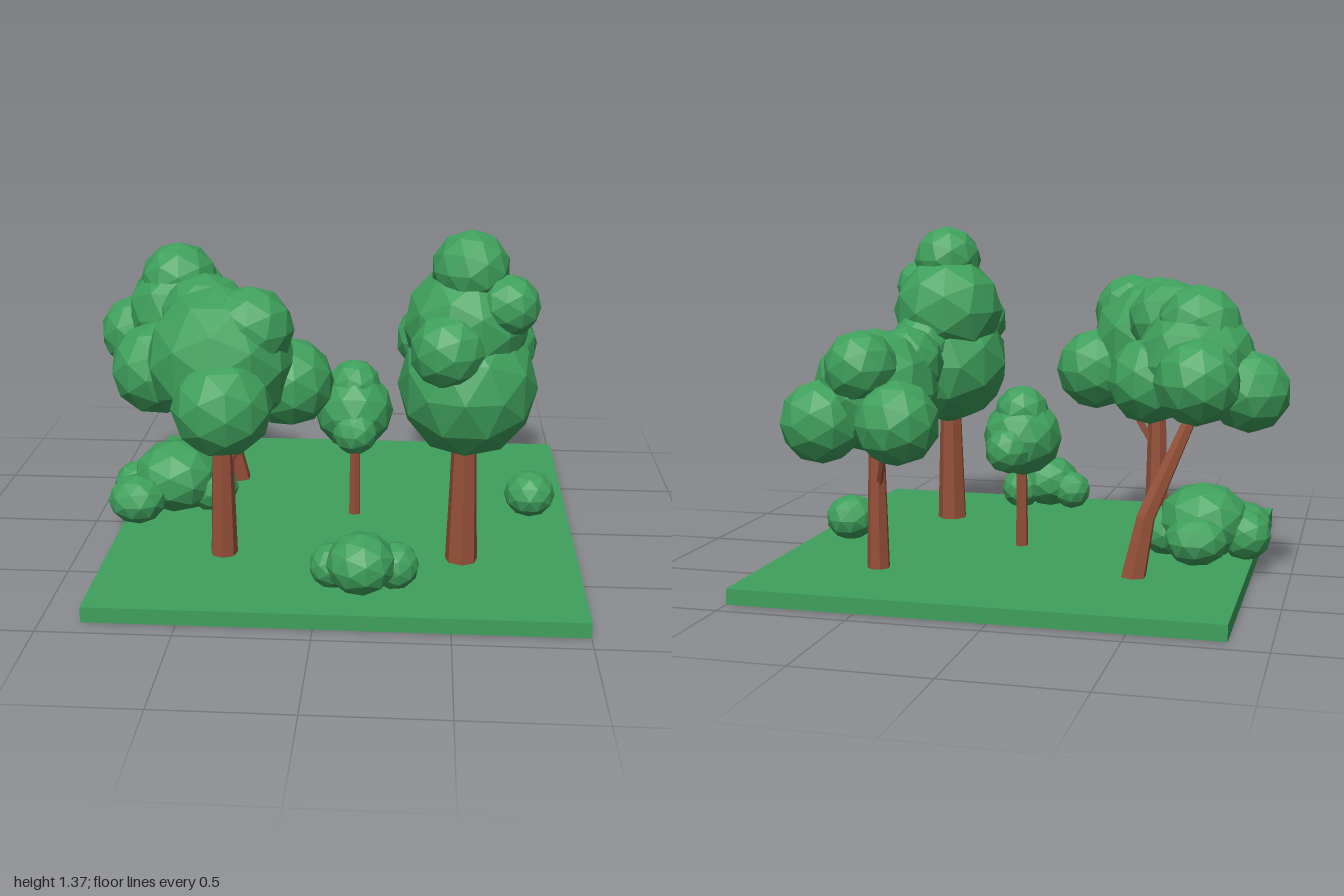
import * as THREE from 'three';

const leafGreen = new THREE.MeshStandardMaterial({ color: 0x3fa05c, flatShading: true });
leafGreen.name = 'leafGreen';
const barkBrown = new THREE.MeshStandardMaterial({ color: 0x955038, flatShading: true });
barkBrown.name = 'barkBrown';

const blobGeometry = new THREE.IcosahedronGeometry(1, 1);
const UP = new THREE.Vector3(0, 1, 0);
let turn = 0;

// Faceted leaf ball: [x, y, z, radius, optional vertical radius]
function blob([x, y, z, r, ry = r], name) {
  const mesh = new THREE.Mesh(blobGeometry, leafGreen);
  mesh.name = name;
  mesh.position.set(x, y, z);
  mesh.scale.set(r * 1.02, ry * 1.02, r * 1.02);
  mesh.rotation.y = 1.3 * turn++;
  return mesh;
}

// Tapered wooden piece between two points
function limb(from, to, r0, r1, name, sides = 7) {
  const a = new THREE.Vector3(...from);
  const b = new THREE.Vector3(...to);
  const dir = b.clone().sub(a);
  const mesh = new THREE.Mesh(new THREE.CylinderGeometry(r1, r0, dir.length(), sides), barkBrown);
  mesh.name = name;
  mesh.position.copy(a).add(b).multiplyScalar(0.5);
  mesh.quaternion.setFromUnitVectors(UP, dir.normalize());
  return mesh;
}

function plant(name, blobs, limbs = []) {
  const group = new THREE.Group();
  group.name = name;
  blobs.forEach((b) => group.add(blob(b, 'foliage')));
  limbs.forEach((l) => group.add(limb(...l)));
  return group;
}

export function createModel() {
  const model = new THREE.Group();
  model.name = 'treeGrove';

  // Ground slab
  const ground = new THREE.Mesh(new THREE.BoxGeometry(1.85, 0.06, 1.84), leafGreen);
  ground.name = 'ground';
  ground.position.set(0.075, 0.03, 0);
  model.add(ground);

  // Broad tree, front right corner
  model.add(plant('broadTree', [
    [-0.38, 0.87, 0.44, 0.28],
    [-0.46, 0.98, 0.26, 0.175],
    [-0.26, 1.0, 0.48, 0.16],
    [-0.13, 0.76, 0.36, 0.17],
    [-0.64, 0.8, 0.34, 0.18],
    [-0.35, 0.75, 0.65, 0.185],
  ], [
    [[-0.39, 0.06, 0.41], [-0.385, 0.75, 0.42], 0.054, 0.034, 'trunk'],
    [[-0.39, 0.4, 0.41], [-0.25, 0.63, 0.4], 0.017, 0.012, 'branch', 5],
  ]));

  // Tall tree, front left corner
  model.add(plant('tallTree', [
    [0.55, 0.77, 0.39, 0.26, 0.27],
    [0.54, 1.0, 0.36, 0.235],
    [0.55, 1.22, 0.39, 0.145],
    [0.47, 0.945, 0.54, 0.14],
    [0.69, 1.1, 0.46, 0.115],
    [0.61, 0.86, 0.24, 0.145],
  ], [
    [[0.545, 0.06, 0.41], [0.545, 0.7, 0.4], 0.064, 0.042, 'trunk'],
  ]));

  // Round tree, back left corner
  model.add(plant('roundTree', [
    [0.57, 0.75, -0.47, 0.24],
    [0.42, 0.66, -0.65, 0.16],
    [0.57, 0.86, -0.62, 0.14],
    [0.73, 0.65, -0.62, 0.16],
    [0.48, 0.85, -0.37, 0.145],
    [0.58, 0.67, -0.285, 0.17],
  ], [
    [[0.56, 0.06, -0.495], [0.56, 0.65, -0.495], 0.045, 0.029, 'trunk'],
    [[0.56, 0.36, -0.49], [0.49, 0.56, -0.6], 0.015, 0.011, 'branch', 5],
  ]));

  // Leaning tree, back right corner
  model.add(plant('leaningTree', [
    [-0.64, 0.87, -0.25, 0.23],
    [-0.65, 1.0, -0.25, 0.165],
    [-0.67, 0.82, -0.45, 0.16],
    [-0.845, 0.77, -0.28, 0.155],
    [-0.47, 0.8, -0.28, 0.165],
  ], [
    [[-0.43, 0.05, -0.395], [-0.475, 0.3, -0.37], 0.05, 0.037, 'lowerTrunk', 6],
    [[-0.47, 0.28, -0.375], [-0.65, 0.72, -0.26], 0.038, 0.024, 'upperTrunk', 6],
  ]));

  // Small tree in the middle
  model.add(plant('smallTree', [
    [0.1, 0.52, -0.03, 0.16],
    [0.1, 0.62, -0.04, 0.11],
    [0.11, 0.46, 0.07, 0.095],
    [0.13, 0.48, -0.14, 0.095],
  ], [
    [[0.105, 0.06, -0.025], [0.105, 0.5, -0.025], 0.026, 0.021, 'trunk', 6],
  ]));

  // Bushes
  model.add(plant('largeBush', [
    [-0.65, 0.21, -0.03, 0.18, 0.15],
    [-0.79, 0.16, 0.12, 0.12, 0.1],
    [-0.5, 0.16, -0.03, 0.11, 0.1],
    [-0.64, 0.16, -0.17, 0.125, 0.1],
    [-0.82, 0.16, -0.04, 0.1],
  ]));
  model.add(plant('frontBush', [
    [0.165, 0.18, 0.73, 0.13, 0.115],
    [0.055, 0.15, 0.69, 0.085],
    [0.29, 0.15, 0.675, 0.09],
  ]));
  model.add(plant('sideBush', [[0.84, 0.15, -0.07, 0.105, 0.095]]));

  return model;
}
